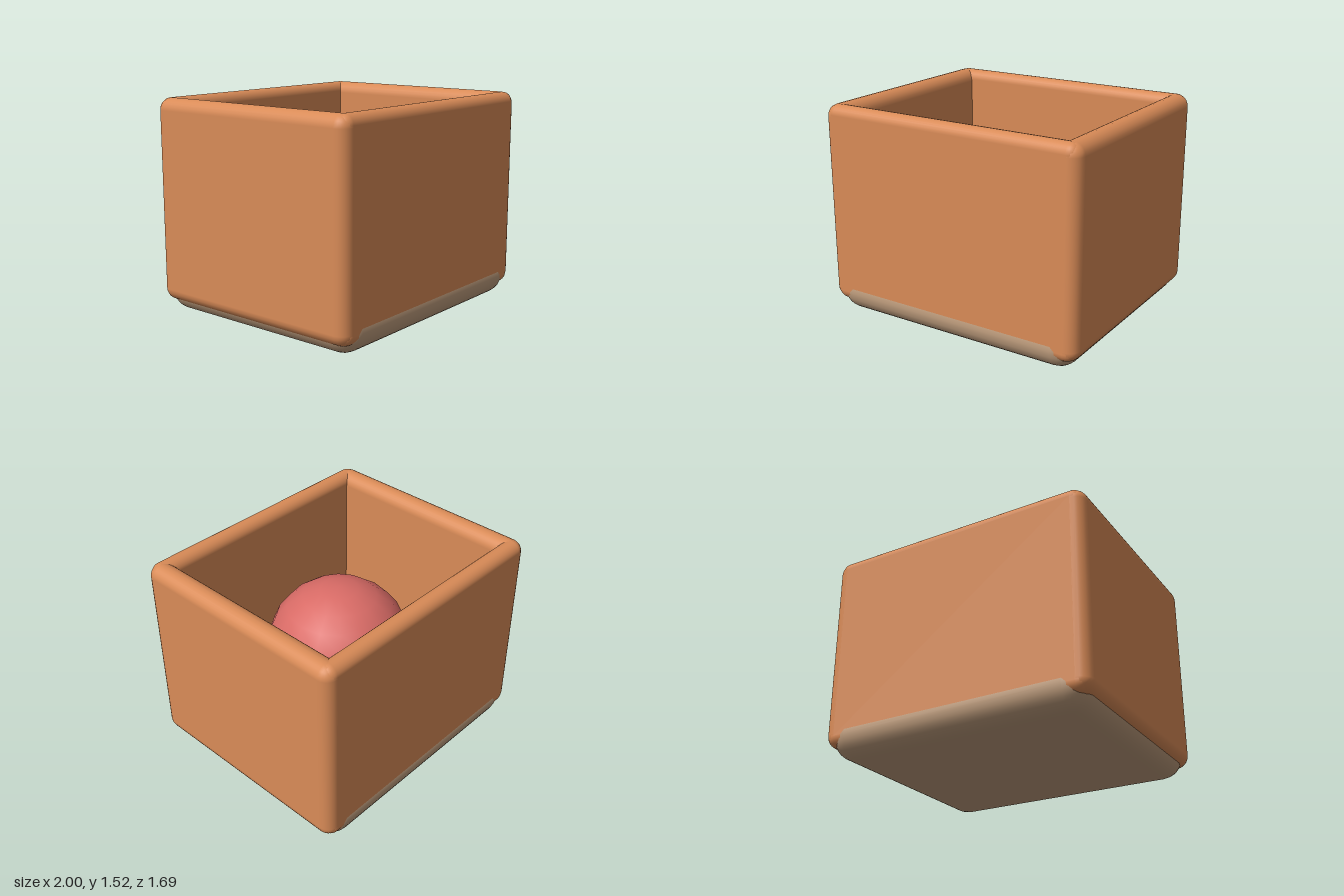
import * as THREE from 'three';
import { RoundedBoxGeometry } from 'three/addons/geometries/RoundedBoxGeometry.js';

export function createModel() {
  const model = new THREE.Group();
  const wallMat = new THREE.MeshStandardMaterial({ color: 0xd98b57 });
  const floorMat = new THREE.MeshStandardMaterial({ color: 0xbf9d7d });
  const ballMat = new THREE.MeshStandardMaterial({ color: 0xd96b66 });

  const add = (name, geometry, material, x, y, z) => {
    const mesh = new THREE.Mesh(geometry, material);
    mesh.name = name;
    mesh.position.set(x, y, z);
    model.add(mesh);
  };
  const slab = (w, h, d, r) => new RoundedBoxGeometry(w, h, d, 3, r);

  // Thick rounded floor that shows below the walls
  add('floor', slab(1.94, 0.3, 1.69, 0.15), floorMat, 0, 0.15, 0);

  // Four walls with fully rounded edges
  const wallHeight = 1.44, wallY = 0.8;
  for (const s of [-1, 1]) {
    add(s > 0 ? 'leftWall' : 'rightWall',
      slab(0.17, wallHeight, 1.68, 0.085), wallMat, s * 0.915, wallY, 0);
    add(s > 0 ? 'frontWall' : 'backWall',
      slab(1.96, wallHeight, 0.14, 0.07), wallMat, 0, wallY, s * 0.77);
  }

  // Ball lying in the box
  add('ball', new THREE.SphereGeometry(0.53, 16, 12), ballMat, 0, 0.71, 0);

  return model;
}
